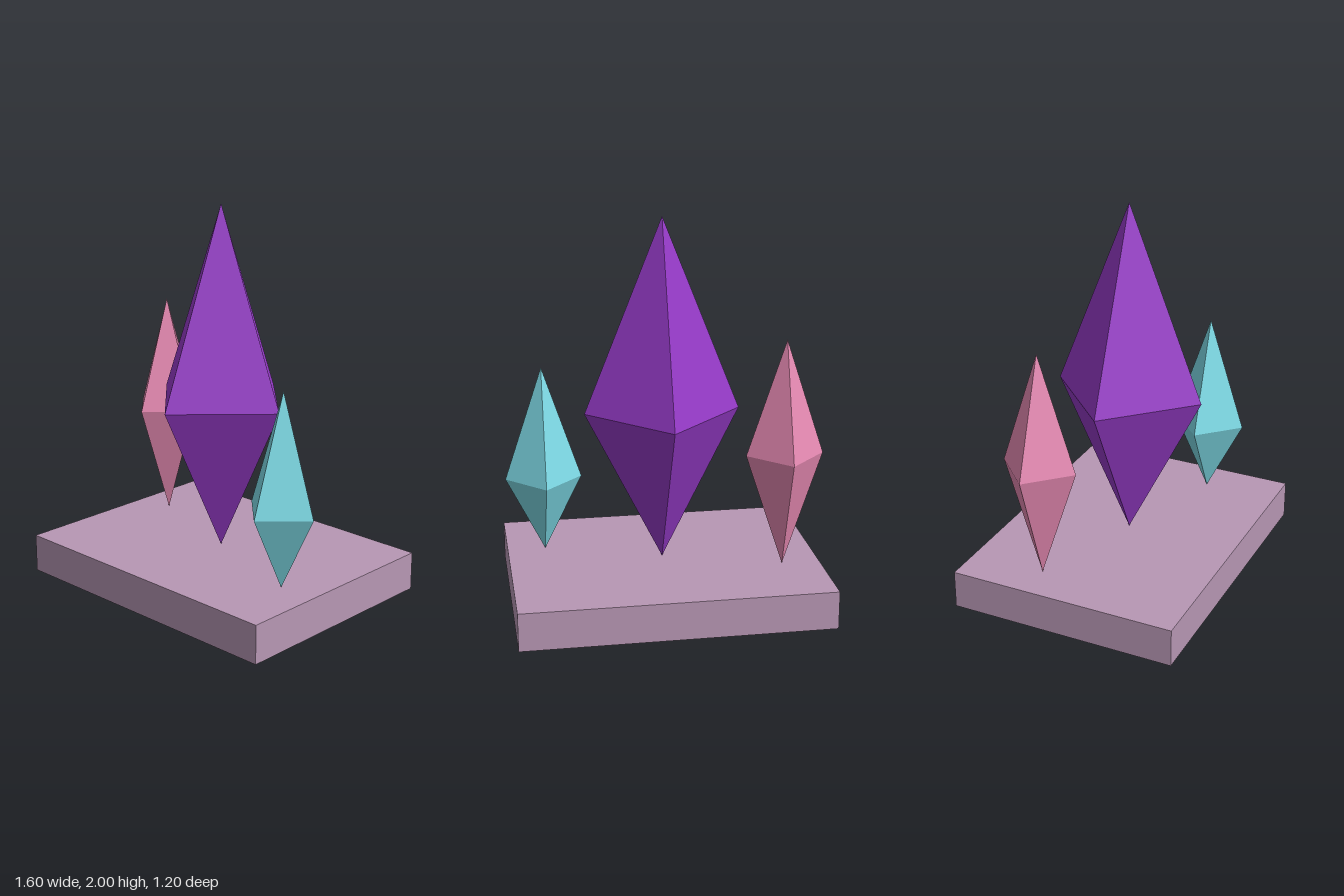
import * as THREE from 'three';

const paint = (name, color) => {
  const m = new THREE.MeshStandardMaterial({ color });
  m.name = name;
  return m;
};

// Four-sided double pyramid with its own heights above and below the waist
function crystalGeometry(radius, bottom, waist, top) {
  const corner = (i) => {
    const a = (i * Math.PI) / 2;
    return [radius * Math.sin(a), waist, radius * Math.cos(a)];
  };
  const points = [];
  for (let i = 0; i < 4; i++) {
    const a = corner(i), b = corner(i + 1);
    points.push(...a, ...b, 0, top, 0);
    points.push(...b, ...a, 0, bottom, 0);
  }
  const g = new THREE.BufferGeometry();
  g.setAttribute('position', new THREE.Float32BufferAttribute(points, 3));
  g.computeVertexNormals();
  return g;
}

export function createModel() {
  const model = new THREE.Group();
  model.name = 'crystalCluster';

  // Slab the crystals stand on
  const base = new THREE.Mesh(new THREE.BoxGeometry(1.6, 0.2, 1.2), paint('dustyMauve', 0xb797b4));
  base.name = 'base';
  base.position.y = 0.1;
  model.add(base);

  // Crystals balanced on their lower points
  const crystals = [
    { name: 'largeCrystal', mat: paint('purple', 0x963bc8), x: 0, z: 0, r: 0.4, waist: 1, top: 2 },
    { name: 'rightCrystal', mat: paint('pink', 0xed8eb8), x: -0.6, z: -0.2, r: 0.2, waist: 0.8, top: 1.4 },
    { name: 'leftCrystal', mat: paint('paleCyan', 0x80deea), x: 0.6, z: 0.2, r: 0.2, waist: 0.6, top: 1.2 },
  ];
  for (const c of crystals) {
    const mesh = new THREE.Mesh(crystalGeometry(c.r, 0.2, c.waist, c.top), c.mat);
    mesh.name = c.name;
    mesh.position.set(c.x, 0, c.z);
    model.add(mesh);
  }
  return model;
}
